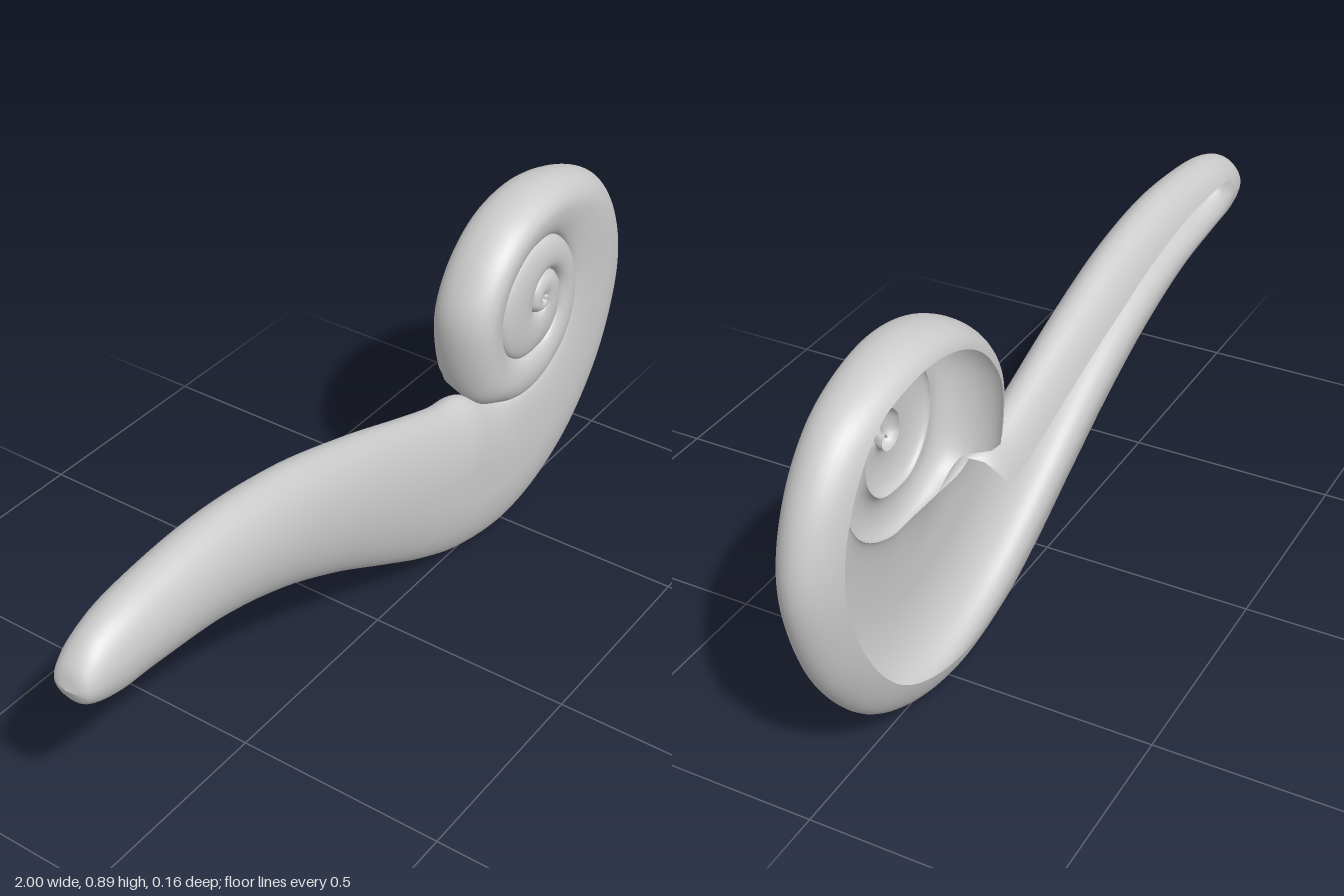
import * as THREE from 'three';

// Edges of the curling horn, station by station from tip to coil centre.
// INNER is the concave edge; it is also the outer edge of the next coil, TURN stations later.
const TURN = 14;
const INNER = [
  [-1, .53], [-.98, .58], [-.92, .625], [-.8, .655], [-.57, .67], [-.33, .643], [-.1, .582],
  [.1, .515], [.24, .47], [.33, .455], [.42, .40], [.52, .38], [.60, .392], [.68, .44],
  [.722, .51], [.73, .59], [.71, .67], [.67, .73], [.62, .765], [.56, .775], [.49, .76],
  [.425, .70], [.405, .62], [.43, .54], [.49, .49], [.56, .485], [.61, .50], [.645, .54],
  [.655, .585], [.65, .635], [.625, .67], [.59, .685], [.555, .68], [.53, .655], [.525, .62],
  [.535, .60], [.55, .59], [.575, .59], [.59, .605], [.59, .62], [.585, .63], [.575, .63], [.57, .62],
];
const OUTER = [
  [-1, .53], [-.975, .485], [-.9, .46], [-.8, .455], [-.6, .43], [-.4, .37], [-.2, .28],
  [0, .17], [.15, .09], [.3, .03], [.48, 0], [.65, .03], [.8, .115], [.92, .26], [.985, .42],
  [1, .56], [.955, .70], [.865, .81], [.74, .87], [.6, .89], [.46, .855], [.35, .765], [.295, .64],
];
const LAST = INNER.length - 1 + TURN;

const curve = (pts) => new THREE.CatmullRomCurve3(
  pts.map(([x, y]) => new THREE.Vector3(x, y, 0)), false, 'catmullrom', 0.5);
const step = THREE.MathUtils.smoothstep;

// height of an edge: 0 on the free rim, raised where coils meet in a groove
const edgeHeight = (j) => 0.055 * step(j, 22.4, 25);

// rounded rise from an edge height to the full height
const rise = (d, R, from, to) => {
  const q = 1 - Math.min(d / Math.max(R, 1e-6), 1);
  return from + (to - from) * Math.sqrt(Math.max(0, 1 - q * q));
};

function buildShell() {
  const innerPts = [...INNER, ...Array(TURN).fill(INNER[INNER.length - 1])];
  const outerPts = [...OUTER, ...INNER.slice(OUTER.length - TURN)];
  const inner = curve(innerPts), outer = curve(outerPts);
  const NU = LAST * 8, LIP = 8, FRONT = 28;
  const pos = [], idx = [];
  const cols = 2 * LIP + FRONT + 1;

  for (let u = 0; u <= NU; u++) {
    const t = (u / NU) * LAST;
    const O = outer.getPoint(u / NU), I = inner.getPoint(u / NU);
    const w = O.distanceTo(I);
    const R = Math.min(w * 0.5, 0.18);
    const tip = 1 - Math.min(t / 5, 1);
    const H = 0.08 * Math.sqrt(1 - tip * tip);
    const eO = edgeHeight(t), eI = edgeHeight(t + TURN);
    // back lip: closed at the tip, narrow along the body, gone inside the coil
    const open = THREE.MathUtils.clamp(w * 0.27, 0.05, 0.08);
    const lip = THREE.MathUtils.lerp(w * 0.5, Math.min(open, w * 0.5), step(t, 2.2, 2.5));
    const lipO = lip * (1 - step(t, 22.6, 23));
    const lipI = lip * (1 - step(t, 8.7, 9.1));
    const put = (d, z) => {
      const p = O.clone().lerp(I, w > 1e-6 ? d / w : 0);
      pos.push(p.x, p.y, z);
    };
    const ease = (k) => 1 - Math.cos((k / LIP) * Math.PI / 2);

    for (let k = LIP; k > 0; k--) {
      const d = lipO * ease(k);
      put(d, rise(d, R, eO, -H));
    }
    for (let k = 0; k <= FRONT; k++) {
      const d = w * (1 - Math.cos((k / FRONT) * Math.PI)) / 2;
      put(d, d < w / 2 ? rise(d, R, eO, H) : rise(w - d, R, eI, H));
    }
    for (let k = 1; k <= LIP; k++) {
      const d = lipI * ease(k);
      put(w - d, rise(d, R, eI, -H));
    }
  }
  for (let u = 0; u < NU; u++) {
    for (let v = 0; v < cols - 1; v++) {
      const a = u * cols + v, b = a + cols;
      idx.push(a, b, b + 1, a, b + 1, a + 1);
    }
  }
  const geo = new THREE.BufferGeometry();
  geo.setAttribute('position', new THREE.Float32BufferAttribute(pos, 3));
  geo.setIndex(idx);
  geo.computeVertexNormals();
  return geo;
}

export function createModel() {
  const group = new THREE.Group();
  group.name = 'scrollOrnament';
  // thin shell, open at the back
  const shell = new THREE.Mesh(buildShell(),
    new THREE.MeshStandardMaterial({ color: 0xcccccc, side: THREE.DoubleSide }));
  shell.name = 'curledShell';
  group.add(shell);
  return group;
}
